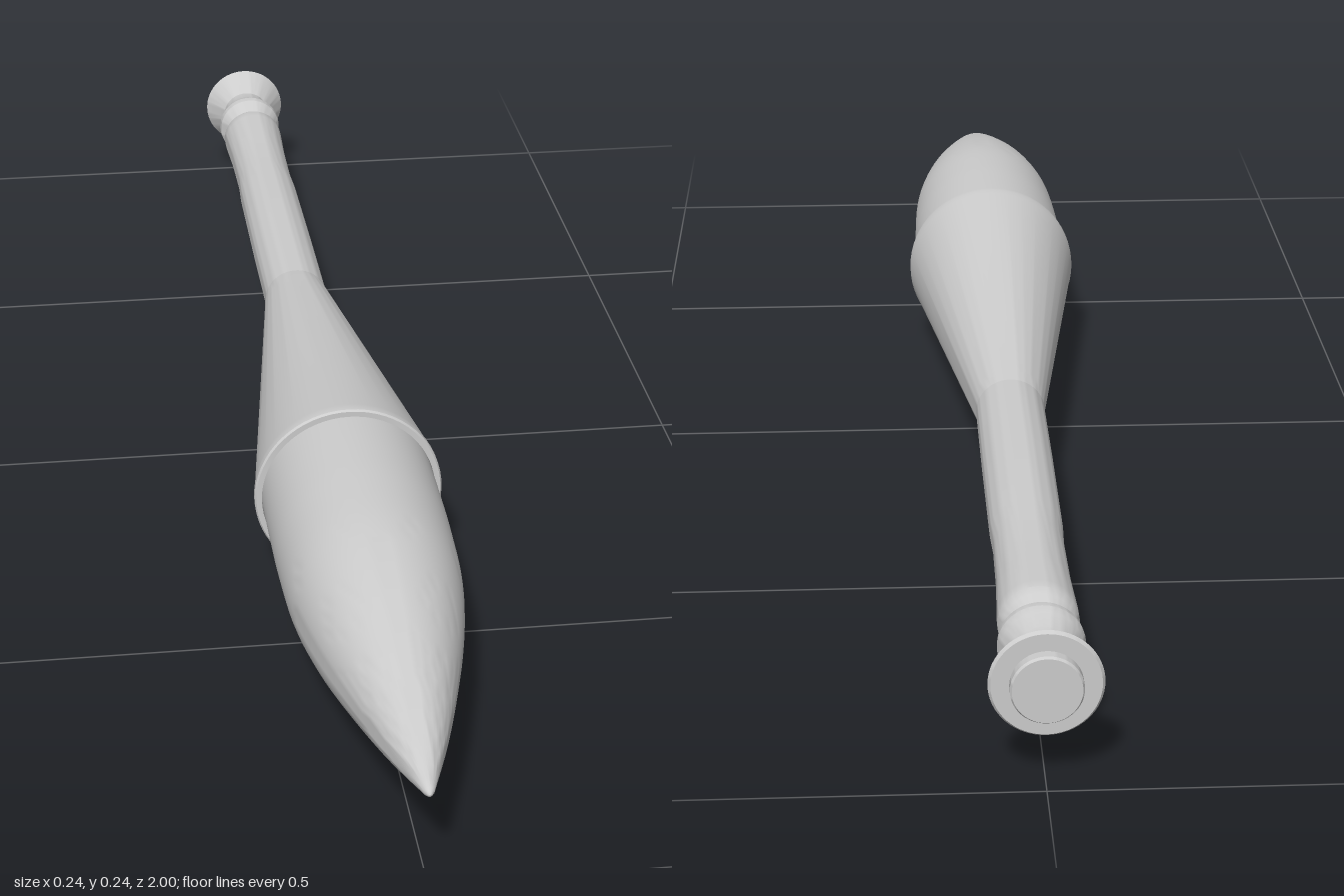
import * as THREE from 'three';
import { toCreasedNormals } from 'three/addons/utils/BufferGeometryUtils.js';

const AXIS_Y = 0.122;
const SIDES = 64;

export function createModel() {
  const group = new THREE.Group();
  const material = new THREE.MeshStandardMaterial({ color: 0xcccccc, side: THREE.DoubleSide });

  // Turns a profile of [radius, z] pairs, ordered back to front, about the long axis
  function turned(name, profile) {
    const points = profile.map(([r, z]) => new THREE.Vector2(r, z));
    const geometry = new THREE.LatheGeometry(points, SIDES).rotateX(Math.PI / 2);
    const mesh = new THREE.Mesh(toCreasedNormals(geometry, 0.4), material);
    mesh.name = name;
    mesh.position.y = AXIS_Y;
    group.add(mesh);
  }

  // Pointed front shell: a smooth curve from the collar to the tip
  const noseCurve = new THREE.SplineCurve([
    [0.111, 0.34], [0.111, 0.42], [0.11, 0.5], [0.105, 0.6], [0.089, 0.7],
    [0.065, 0.8], [0.037, 0.9], [0.006, 0.993],
  ].map(([r, z]) => new THREE.Vector2(r, z)));
  turned('nose', [...noseCurve.getPoints(36).map((p) => [p.x, p.y]), [0.003, 0.998], [0, 1]]);

  // Tapered body ending in a collar lip around the nose
  turned('taperedBody', [
    [0.045, -0.23], [0.049, -0.2], [0.119, 0.325], [0.121, 0.335], [0.121, 0.343],
    [0.119, 0.346], [0.112, 0.346], [0.111, 0.335],
  ]);

  // Slim shaft, slightly waisted toward the rear
  turned('shaft', [
    [0.034, -0.862], [0.042, -0.852], [0.046, -0.842], [0.046, -0.825], [0.043, -0.75],
    [0.042, -0.65], [0.044, -0.6], [0.045, -0.4], [0.045, -0.23],
  ]);

  // Rounded bead between two grooves
  turned('bead', [
    [0.037, -0.945], [0.038, -0.925], [0.046, -0.905], [0.049, -0.895],
    [0.048, -0.885], [0.034, -0.862],
  ]);

  // Flared flange and the flat end plug behind it
  turned('flange', [
    [0.04, -0.985], [0.06, -0.985], [0.063, -0.981], [0.037, -0.945],
  ]);
  turned('endPlug', [[0, -1], [0.038, -1], [0.04, -0.997], [0.04, -0.985]]);

  return group;
}
